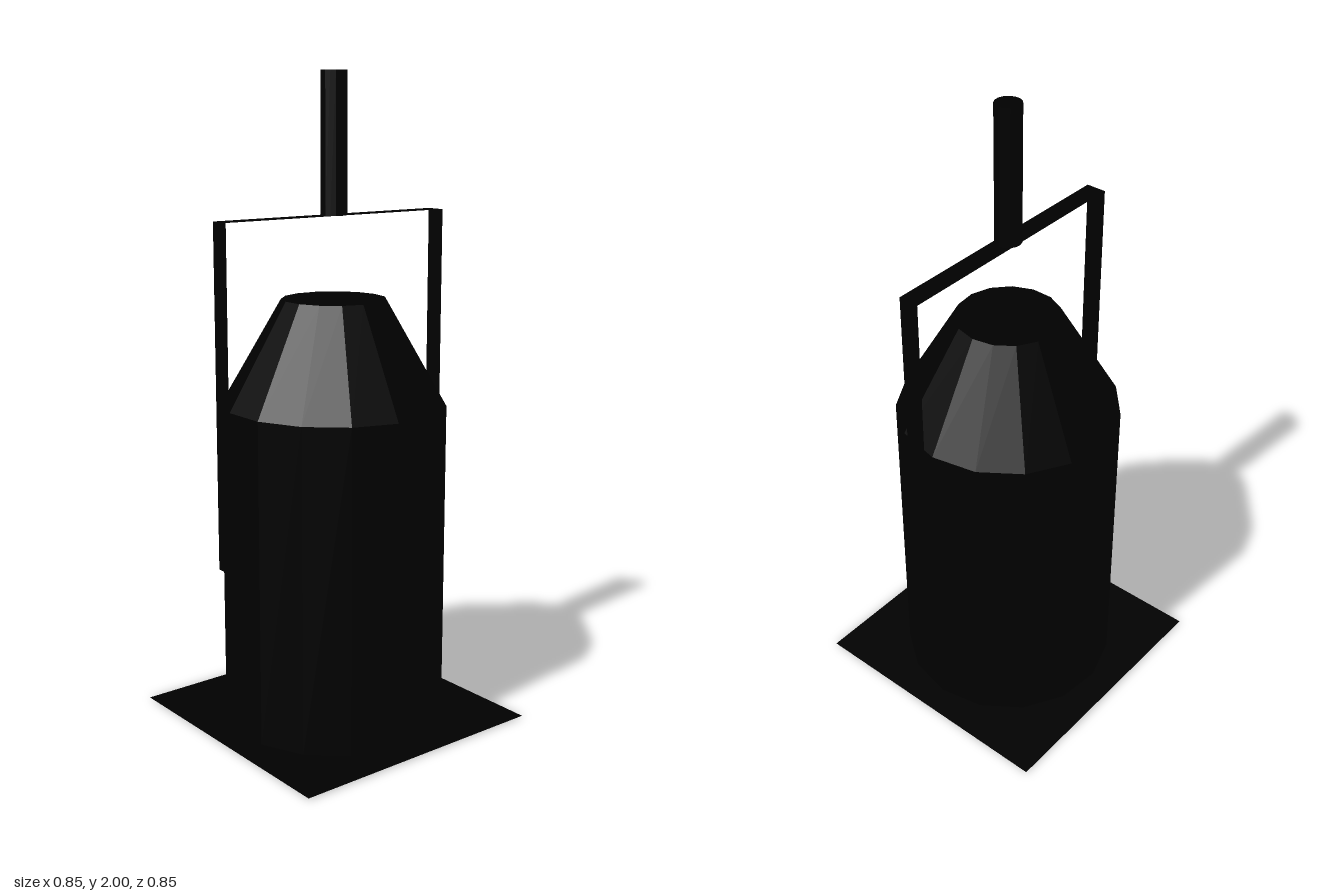
import * as THREE from 'three';

const SIDES = 15;

export function createModel() {
  const group = new THREE.Group();
  const black = new THREE.MeshStandardMaterial({ color: 0x000000, flatShading: true, side: THREE.DoubleSide });
  black.name = 'black';

  const add = (name, geometry, x, y, z) => {
    const mesh = new THREE.Mesh(geometry, black);
    mesh.name = name;
    mesh.position.set(x, y, z);
    group.add(mesh);
    return mesh;
  };

  // Drums have a corner pointing at +x
  const drum = (top, bottom, height, open = false) =>
    new THREE.CylinderGeometry(top, bottom, height, SIDES, 1, open, Math.PI / 2);

  const Z = 0.004; // all upright parts share this axis

  // Flat square base sheet
  add('base', new THREE.PlaneGeometry(0.854, 0.854).rotateX(-Math.PI / 2), 0, 0.004, 0);

  // Body: straight drum with a tapered shoulder and flat top
  add('body', drum(0.345, 0.345, 1.01, true), 0, 0.505, Z);
  add('shoulder', drum(0.16, 0.345, 0.32, true), 0, 1.17, Z);
  const disc = (radius) => new THREE.CircleGeometry(radius, SIDES);
  add('bodyTop', disc(0.16).rotateX(-Math.PI / 2), 0, 1.33, Z);
  add('bodyBottom', disc(0.345).rotateX(Math.PI / 2), 0, 0, Z);

  // Bracket: sheet strips without thickness
  const low = 0.55, high = 1.58, half = 0.41, width = 0.064;
  for (const side of [-1, 1]) {
    add(side > 0 ? 'leftBracketArm' : 'rightBracketArm',
      new THREE.PlaneGeometry(width, high - low).rotateY(side * Math.PI / 2),
      side * half, (low + high) / 2, Z);
  }
  add('bracketBridge', new THREE.PlaneGeometry(2 * half, width).rotateX(-Math.PI / 2), 0, high, Z);

  // Hanging rod
  add('rod', drum(0.04, 0.04, 0.42), 0, 1.79, Z);

  return group;
}
